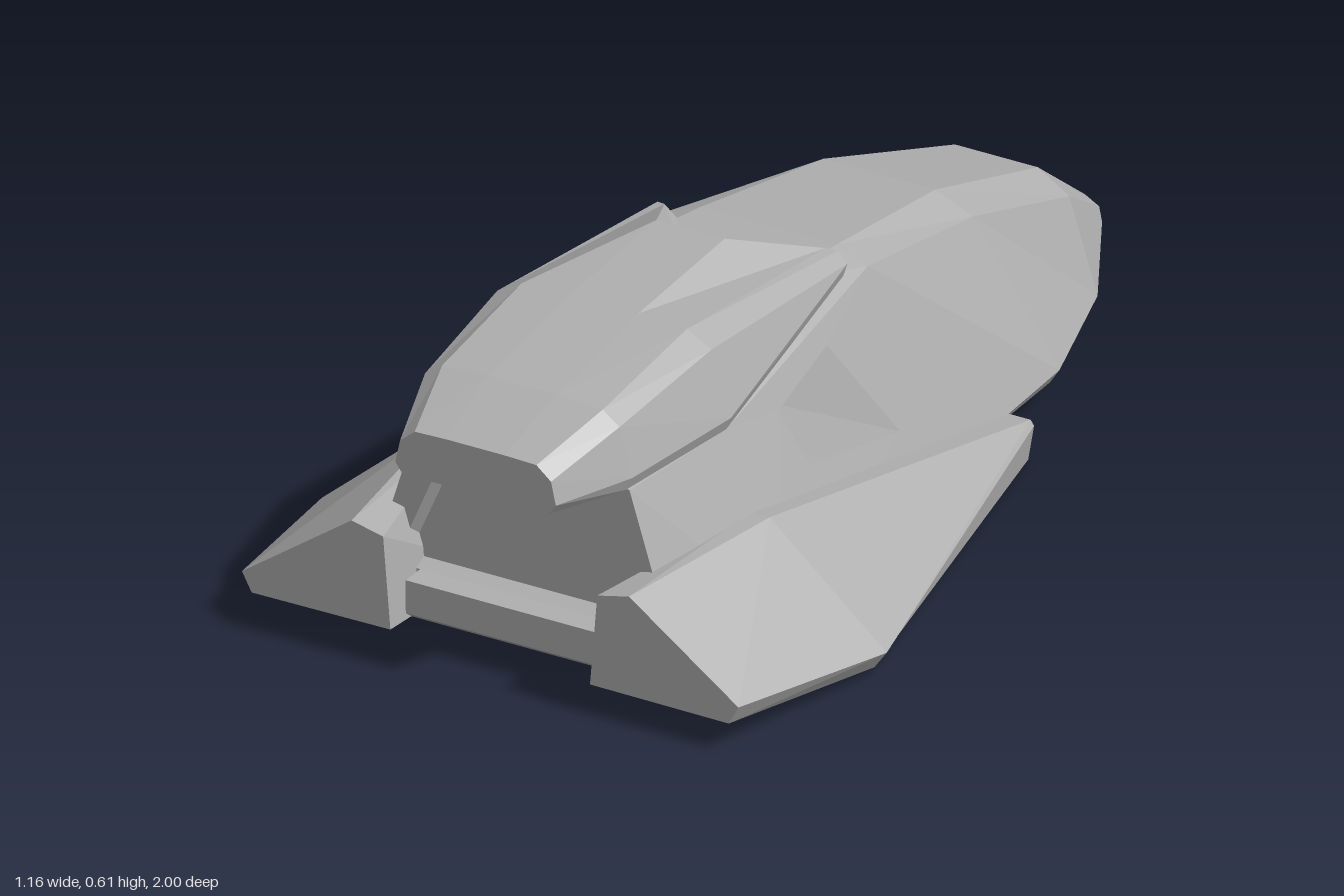
import * as THREE from 'three';

const hullGrey = new THREE.MeshStandardMaterial({ color: 0xb0b0b0, side: THREE.DoubleSide });
hullGrey.name = 'hullGrey';

const lerp = THREE.MathUtils.lerp;

// Flat-shaded geometry from a list of triangles (three corners each)
function fromTriangles(tris) {
  const g = new THREE.BufferGeometry();
  g.setAttribute('position', new THREE.Float32BufferAttribute(tris.flat(2), 3));
  g.computeVertexNormals();
  return g;
}

// Skin closed rings of [x, y, z] points; turned outward by signed volume
function loft(rings, { startCap = true, endCap = true, skip = () => false } = {}) {
  const tris = [];
  const n = rings[0].length;
  for (let r = 0; r < rings.length - 1; r++) {
    for (let i = 0; i < n; i++) {
      if (skip(r, i)) continue;
      const j = (i + 1) % n;
      const [a, b, c, d] = [rings[r][i], rings[r][j], rings[r + 1][j], rings[r + 1][i]];
      tris.push([a, b, c], [a, c, d]);
    }
  }
  const last = rings[rings.length - 1];
  for (let i = 1; i < n - 1; i++) {
    if (startCap) tris.push([rings[0][0], rings[0][i + 1], rings[0][i]]);
    if (endCap) tris.push([last[0], last[i], last[i + 1]]);
  }
  const v = (p) => new THREE.Vector3(p[0], p[1] - 0.3, p[2]);
  const volume = tris.reduce((s, [a, b, c]) => s + v(a).dot(v(b).cross(v(c))), 0);
  return fromTriangles(volume < 0 ? tris.map(([a, b, c]) => [a, c, b]) : tris);
}

// Complete a half section (bottom to top) with its mirror image
const mirrored = (half) => [...half, ...half.map(([x, y, z]) => [-x, y, z]).reverse()];
// Half section at one z
const at = (z, pts) => pts.map(([x, y]) => [x, y, z]);

// Mirror a geometry to the other side, keeping its faces outward
function mirrorX(g) {
  const m = g.clone();
  m.scale(-1, 1, 1);
  const p = m.attributes.position;
  for (let i = 0; i < p.count; i += 3) {
    const b = [p.getX(i + 1), p.getY(i + 1), p.getZ(i + 1)];
    p.setXYZ(i + 1, p.getX(i + 2), p.getY(i + 2), p.getZ(i + 2));
    p.setXYZ(i + 2, ...b);
  }
  m.computeVertexNormals();
  return m;
}

const shapeOf = (pts) => new THREE.Shape(pts.map(([x, y]) => new THREE.Vector2(x, y)));

// Sloping hull side: x for a given z (0 to 0.56) and y
function sideX(z, y) {
  const t = z / 0.56;
  const v = (y - 0.08) / (lerp(0.47, 0.405, t) - 0.08);
  return lerp(lerp(0.335, 0.37, t), lerp(0.205, 0.25, t), v);
}

export function createModel() {
  const model = new THREE.Group();
  model.name = 'shuttle';
  const add = (name, geometry, parent = model) => {
    const mesh = new THREE.Mesh(geometry, hullGrey);
    mesh.name = name;
    parent.add(mesh);
  };
  const addPair = (name, geometry) => {
    add('left' + name, geometry);
    add('right' + name, mirrorX(geometry));
  };

  // Hull: bottom, chine, shoulder and roof edge at each station, nose to tail
  const stern = [[0.2, 0.05], [0.32, 0.08], [0.22, 0.4], [0.15, 0.42]];
  const hullRings = [
    [[0.06, 0.05, -0.93], [0.1, 0.1, -0.975], [0.085, 0.12, -0.99], [0.05, 0.13, -1]],
    [[0.2, 0.05, -0.76], [0.22, 0.08, -0.76], [0.15, 0.25, -0.78], [0.085, 0.29, -0.78]],
    [[0.29, 0.05, -0.48], [0.31, 0.08, -0.48], [0.18, 0.385, -0.4], [0.115, 0.43, -0.38]],
    at(0, [[0.3, 0.05], [0.335, 0.08], [0.205, 0.47], [0.14, 0.495]]),
    at(0.25, [[0.27, 0.05], [0.351, 0.08], [0.225, 0.441], [0.15, 0.53]]),
    at(0.56, [[0.23, 0.05], [0.37, 0.08], [0.25, 0.405], [0.15, 0.5]]),
    at(0.84, stern),
  ].map(mirrored);
  // The side strips amidships are left out for the panels with intakes
  add('hull', loft(hullRings, {
    endCap: false,
    skip: (r, i) => (r === 3 || r === 4) && (i === 1 || i === 5),
  }));

  // Side panels, drawn in (z, y) with an intake opening and pushed out to the hull slope
  const opening = [[0.39, 0.37], [0.35, 0.255], [0.05, 0.19], [0.19, 0.405]];
  const panelShape = shapeOf([[0, 0.08], [0.56, 0.08], [0.56, 0.405], [0, 0.47]]);
  panelShape.holes.push(shapeOf(opening));
  const panel = new THREE.ShapeGeometry(panelShape).toNonIndexed();
  const pos = panel.attributes.position;
  for (let i = 0; i < pos.count; i++) {
    const z = pos.getX(i), y = pos.getY(i);
    pos.setXYZ(i, sideX(z, y), y, z);
  }
  addPair('SidePanel', mirrorX(panel).scale(-1, 1, 1));
  for (const mesh of model.children.slice(-2)) mesh.geometry.computeVertexNormals();

  // Intakes: a ramp sinking toward the rear, closed by a back wall
  const [a, b, c, d] = opening.map(([z, y]) => [sideX(z, y), y, z]);
  const a2 = [sideX(0.34, 0.35) - 0.045, 0.35, 0.34];
  const b2 = [sideX(0.3, 0.245) - 0.045, 0.245, 0.3];
  addPair('Intake', fromTriangles([
    [c, d, a2], [c, a2, b2],
    [a, b, b2], [a, b2, a2],
    [a, a2, d], [b, c, b2],
  ]));

  // Stern wall with a recessed door
  const both = (half) => [...half, ...half.map(([x, y]) => [-x, y]).reverse()];
  const doorOuter = both([[0.24, 0.13], [0.255, 0.15], [0.15, 0.395]]);
  const doorInner = both([[0.23, 0.14], [0.242, 0.155], [0.142, 0.385]]);
  const wall = shapeOf(both(stern));
  wall.holes.push(shapeOf(doorOuter));
  add('sternWall', new THREE.ShapeGeometry(wall).toNonIndexed().translate(0, 0, 0.84));
  const rimTris = [];
  doorOuter.forEach((p, i) => {
    const j = (i + 1) % doorOuter.length;
    const [p0, p1] = [[...p, 0.84], [...doorOuter[j], 0.84]];
    const [q0, q1] = [[...doorInner[i], 0.81], [...doorInner[j], 0.81]];
    rimTris.push([p0, p1, q1], [p0, q1, q0]);
  });
  add('doorRim', fromTriangles(rimTris));
  add('sternDoor', new THREE.ShapeGeometry(shapeOf(doorInner)).translate(0, 0, 0.81));

  // Sill under the door with a chamfered lower edge
  const sill = [[0.82, 0.05], [0.87, 0.05], [0.89, 0.065], [0.89, 0.13], [0.82, 0.13]];
  add('sternSill', loft([-0.21, 0.21].map((x) => sill.map(([z, y]) => [x, y, z]))));

  // Engine hood, its front notched around the roof
  const hoodRings = [
    [[0.18, 0.455, 0.07], [0.18, 0.47, 0.07], [0.15, 0.48, 0.07], [0.135, 0.495, 0.07], [0.05, 0.515, 0.2]],
    [[0.195, 0.475, 0.07], [0.205, 0.505, 0.07], [0.185, 0.525, 0.07], [0.165, 0.53, 0.08], [0.07, 0.605, 0.265]],
    at(0.56, [[0.25, 0.405], [0.26, 0.43], [0.22, 0.555], [0.17, 0.583], [0.07, 0.587]]),
    at(0.84, [[0.215, 0.4], [0.225, 0.425], [0.2, 0.52], [0.165, 0.545], [0.07, 0.55]]),
    at(1, [[0.15, 0.405], [0.165, 0.425], [0.155, 0.47], [0.125, 0.495], [0.06, 0.497]]),
  ].map(mirrored);
  add('engineHood', loft(hoodRings, { startCap: false }));

  // Wings: inner foot, inner top, outer top, tip, tip underside
  addPair('Wing', loft([
    at(-0.29, [[0.31, 0], [0.32, 0.08], [0.365, 0.08], [0.372, 0.07], [0.36, 0]]),
    at(0.56, [[0.225, 0.015], [0.3, 0.255], [0.34, 0.255], [0.58, 0.05], [0.555, 0.015]]),
    at(0.95, [[0.205, 0.06], [0.22, 0.24], [0.285, 0.255], [0.51, 0.095], [0.49, 0.058]]),
  ]));

  return model;
}
